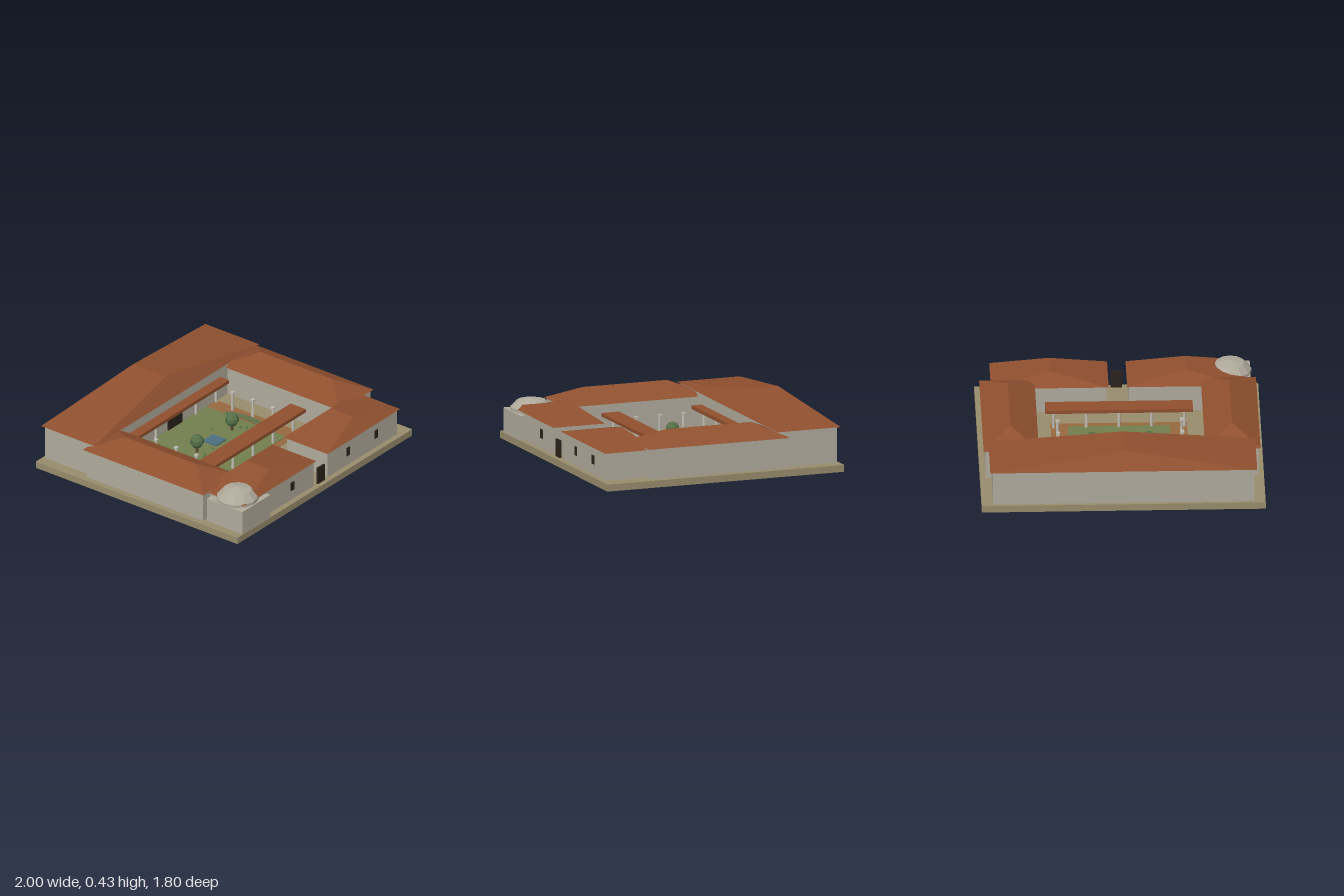
import * as THREE from 'three';

const mat = (color, side = THREE.FrontSide) => new THREE.MeshStandardMaterial({ color, flatShading: true, side });
const M = {
  base: mat(0x988c6c, THREE.DoubleSide), wall: mat(0xb0aa9c), roof: mat(0x90502f), dark: mat(0x2c231c),
  soil: mat(0x98693f), grass: mat(0x727e4e), water: mat(0x4d7080), leaf: mat(0x557048),
  hedge: mat(0x66744c), trunk: mat(0x5a4632), column: mat(0xc0bcb2), dome: mat(0xaea99a),
};
const G = 0.052; // ground level for the buildings

export function createModel() {
  const model = new THREE.Group();
  model.name = 'courtyardVilla';
  const add = (name, geo, material, x = 0, y = 0, z = 0) => {
    const m = new THREE.Mesh(geo, material);
    m.name = name;
    m.position.set(x, y, z);
    model.add(m);
    return m;
  };
  // box given by its limits
  const box = (name, material, x0, x1, y0, y1, z0, z1) =>
    add(name, new THREE.BoxGeometry(x1 - x0, y1 - y0, z1 - z0), material,
      (x0 + x1) / 2, (y0 + y1) / 2, (z0 + z1) / 2);

  // hipped roof with its ridge running along z, closed underneath
  const hipRoof = (name, x0, x1, z0, z1, y0, y1, r0, r1) => {
    const xm = (x0 + x1) / 2;
    const p = [[x0, y0, z0], [x1, y0, z0], [x1, y0, z1], [x0, y0, z1], [xm, y1, r0], [xm, y1, r1]];
    const faces = [[0, 4, 1], [2, 5, 3], [0, 3, 5], [0, 5, 4], [1, 4, 5], [1, 5, 2], [0, 1, 2], [0, 2, 3]];
    const g = new THREE.BufferGeometry();
    g.setAttribute('position', new THREE.Float32BufferAttribute(faces.flat().flatMap((i) => p[i]), 3));
    g.computeVertexNormals();
    add(name, g, M.roof);
  };

  // round column with a square capital
  const column = (name, x, z) => {
    add(name + 'Shaft', new THREE.CylinderGeometry(0.009, 0.011, 0.145, 8), M.column, x, 0.1225, z);
    box(name + 'Capital', M.column, x - 0.013, x + 0.013, 0.188, 0.2, z - 0.013, z + 0.013);
  };

  // ground slab: a shallow tray turned over, open underneath
  const slab = box('groundSlab', M.base, -1, 1, 0, 0.05, -0.9, 0.9).geometry;
  slab.setIndex([...slab.index.array].filter((_, i) => i < 18 || i >= 24));

  // courtyard layers
  const cz = -0.085;
  box('courtyardSoil', M.soil, -0.48, 0.48, 0.045, 0.054, -0.5, 0.32);
  box('lawn', M.grass, -0.36, 0.36, 0.05, 0.058, -0.44, 0.27);
  box('pool', M.water, -0.058, 0.058, 0.05, 0.068, cz - 0.058, cz + 0.06);

  // main hall at the back
  box('hallWalls', M.wall, -0.92, 0.92, G, 0.31, -0.88, -0.44);
  hipRoof('hallRoof', -0.94, 0.94, -0.9, -0.42, 0.31, 0.43, -0.808, -0.52);
  box('hallDoor', M.dark, -0.08, 0.08, G, 0.175, -0.45, -0.432);

  for (const s of [-1, 1]) {
    const side = s > 0 ? 'left' : 'right';
    const span = (a, b) => (s > 0 ? [a, b] : [-b, -a]);
    // long side wing
    box(side + 'WingWalls', M.wall, ...span(0.605, 0.96), G, 0.27, -0.48, 0.56);
    hipRoof(side + 'WingRoof', ...span(0.585, 0.975), -0.5, 0.575, 0.27, 0.365, -0.28, 0.36);
    // front house beside the gate
    box(side + 'FrontWalls', M.wall, ...span(0.08, 0.88), G, 0.25, 0.5, 0.86);
    hipRoof(side + 'FrontRoof', ...span(0.065, 0.895), 0.482, 0.875, 0.25, 0.337, 0.578, 0.778);
    for (const x of s > 0 ? [0.317, 0.638] : [0.32])
      box(side + 'Window', M.dark, s * x - 0.02, s * x + 0.02, 0.125, 0.19, 0.855, 0.864);
    // free-standing side columns
    for (const dz of [-0.18, 0, 0.18]) column(side + 'Column', s * 0.437, cz + dz);
    // garden tree
    add(side + 'TreeTrunk', new THREE.CylinderGeometry(0.009, 0.012, 0.08, 6), M.trunk, s * 0.2, 0.09, cz);
    add(side + 'TreeCrown', new THREE.SphereGeometry(0.051, 8, 5), M.leaf, s * 0.2, 0.143, cz);
    // curved hedge, made of blocks along a circle
    for (let i = -8; i <= 8; i++) {
      const a = i * 0.058;
      const h = add(side + 'HedgeBlock', new THREE.BoxGeometry(0.05, 0.014, 0.021), M.hedge,
        s * 0.405 * Math.cos(a), 0.056, cz + 0.405 * Math.sin(a));
      h.rotation.y = -s * a;
    }
  }

  // front gate
  box('gate', M.dark, -0.04, 0.04, G, 0.178, 0.856, 0.87);

  // two colonnades across the courtyard; the back one leaves the hall door free
  for (const [name, z0, z1, slots] of [
    ['front', 0.19, 0.325, [-2, -1, 0, 1, 2]],
    ['back', -0.5, -0.36, [-2, -1, 1, 2]],
  ]) {
    box(name + 'ColonnadeRoof', M.roof, -0.52, 0.52, 0.2, 0.225, z0, z1);
    for (const i of slots) column(name + 'ColonnadeColumn', i * 0.23, (z0 + z1) / 2);
  }

  // corner tower with a faceted dome
  box('towerWalls', M.wall, -0.94, -0.62, G, 0.23, 0.58, 0.898);
  const profile = [[0, 0.228], [0.15, 0.228], [0.15, 0.25], [0.1, 0.302], [0, 0.322]];
  add('towerDome', new THREE.LatheGeometry(profile.map(([r, y]) => new THREE.Vector2(r, y)), 12),
    M.dome, -0.798, 0, 0.742);

  // cone-shaped bushes rooted below the soil, only their tips above the lawn
  const bushes = [[0.12, -0.2], [0.26, -0.06], [0.285, -0.02], [-0.23, 0], [-0.2, -0.015], [-0.1, 0.02],
    [-0.1, -0.025], [0.05, 0.115], [0.1, 0.14], [0.03, -0.14], [-0.045, 0.1], [0.045, 0.06]];
  bushes.forEach(([x, z], i) => {
    const b = add('bush', new THREE.ConeGeometry(0.048, 0.072, 7), M.leaf, x, 0.039, z);
    b.rotation.y = i;
  });
  return model;
}
